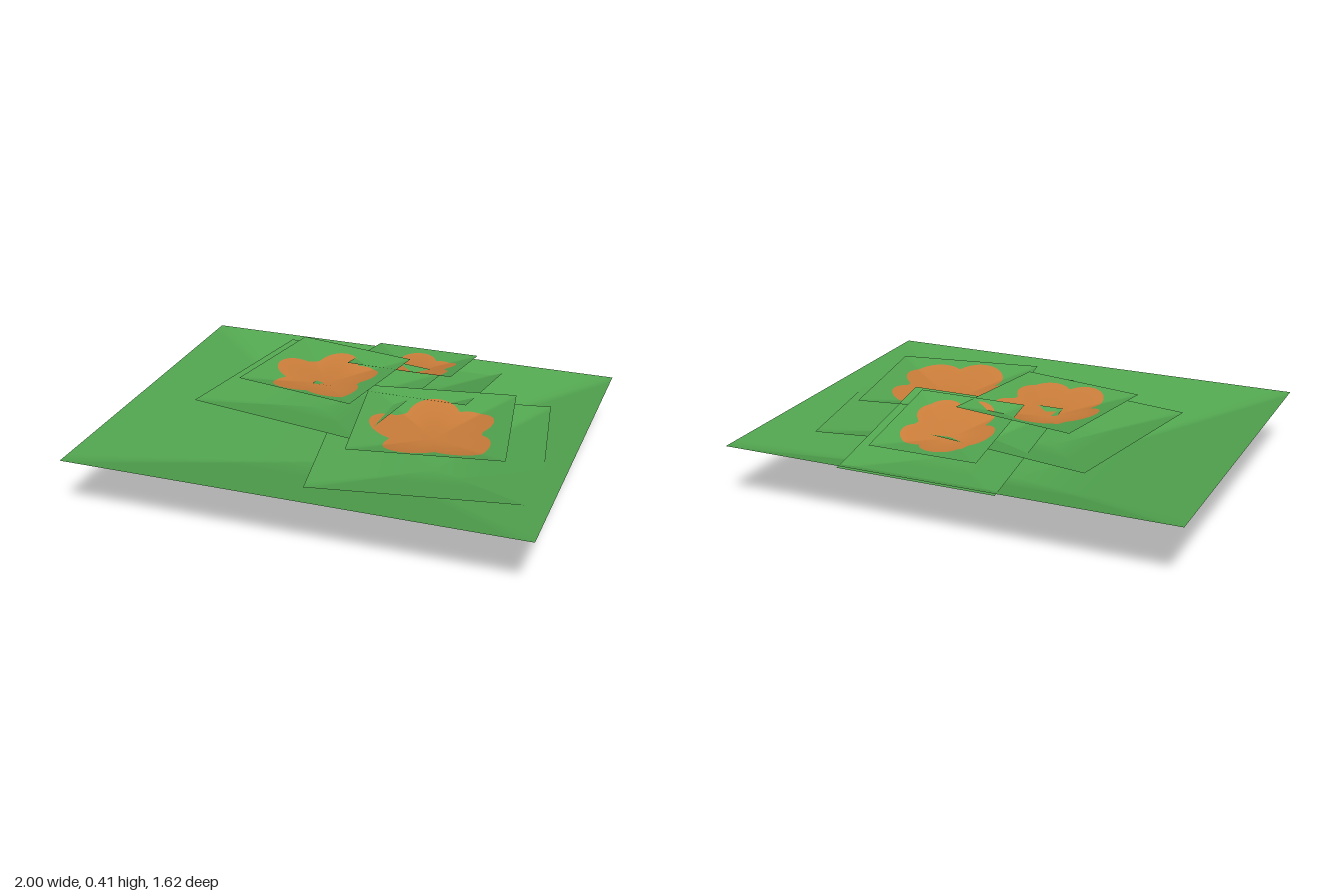
import * as THREE from 'three';

const green = new THREE.MeshStandardMaterial({ color: 0x52a650, side: THREE.DoubleSide });
green.name = 'leafGreen';
const orange = new THREE.MeshStandardMaterial({ color: 0xca7d3a, side: THREE.DoubleSide });
orange.name = 'petalOrange';

const RAYS = 144; // multiple of 8, so rays hit the corners

// Five rounded petals: angle in degrees (from +x towards +z), tip distance, lobe radius
const PETALS = [[-97, 0.81, 0.35], [-31, 0.83, 0.35], [51, 0.98, 0.42], [111, 0.97, 0.37], [180, 0.85, 0.35]];

// Outline of the bloom as a distance along a ray, in half-widths of its sheet
function bloomRadius(angle) {
  let r = 0.64;
  for (const [deg, tip, lobe] of PETALS) {
    const phi = angle - THREE.MathUtils.degToRad(deg);
    const d = tip - lobe;
    const h = lobe * lobe - (d * Math.sin(phi)) ** 2;
    if (h > 0) r = Math.max(r, d * Math.cos(phi) + Math.sqrt(h));
  }
  return r;
}

// Shallow dished sheet: flat rectangular rim at y = 0, straight slopes to a low centre.
// A ring between the centre and the rim separates the bloom from the green.
function dishGeometry(w, d, depth, centreZ, bloom) {
  const pos = [0, -depth, centreZ];
  const inner = [], outer = [];
  for (let i = 0; i < RAYS; i++) {
    const a = (i / RAYS) * Math.PI * 2;
    const c = Math.cos(a), s = Math.sin(a);
    const R = 1 / Math.max(Math.abs(c), Math.abs(s));
    const t = bloom ? Math.min(0.98, bloomRadius(a) / R) : 0.5;
    for (const k of [t, 1]) {
      pos.push(c * R * w * k, -depth * (1 - k), centreZ * (1 - k) + s * R * d * k);
    }
    const p = 1 + 2 * i, n = 1 + 2 * ((i + 1) % RAYS);
    inner.push(0, n, p);
    outer.push(p, n, n + 1, p, n + 1, p + 1);
  }
  const g = new THREE.BufferGeometry();
  g.setAttribute('position', new THREE.Float32BufferAttribute(pos, 3));
  g.setIndex([...inner, ...outer]);
  g.addGroup(0, inner.length, 0);
  g.addGroup(inner.length, outer.length, 1);
  g.computeVertexNormals();
  return g;
}

function sheet(name, { w, d = w, depth = w * 0.26, centreZ = 0, bloom = false, at, turn = 0, tilt = 0 }) {
  const mesh = new THREE.Mesh(dishGeometry(w, d, depth, centreZ, bloom), [bloom ? orange : green, green]);
  mesh.name = name;
  mesh.position.set(...at);
  mesh.rotation.set(tilt, turn, 0);
  return mesh;
}

export function createModel() {
  const model = new THREE.Group();
  model.name = 'flowerPatch';

  // Large ground leaf
  model.add(sheet('groundLeaf', { w: 1, d: 0.81, depth: 0.26, centreZ: -0.07, at: [0, 0.26, 0] }));

  // Three blooms, each a leaf sheet with a smaller flower sheet above it
  const blooms = [
    { side: 'right', turn: -0.176, tilt: 0, leaf: [0.41, [-0.2, 0.32, -0.14]], flower: [0.28, [-0.178, 0.41, -0.135]] },
    { side: 'left', turn: 0.17, tilt: 0, leaf: [0.474, [0.4, 0.232, 0.095]], flower: [0.327, [0.395, 0.34, 0.09]] },
    { side: 'back', turn: 0, tilt: -0.18, leaf: [0.355, [0.135, 0.295, -0.42]], flower: [0.242, [0.133, 0.368, -0.465]] },
  ];
  for (const { side, turn, tilt, leaf, flower } of blooms) {
    const group = new THREE.Group();
    group.name = side + 'Bloom';
    group.add(
      sheet(side + 'Leaf', { w: leaf[0], at: leaf[1], turn, tilt }),
      sheet(side + 'Flower', { w: flower[0], at: flower[1], turn, tilt, bloom: true }),
    );
    model.add(group);
  }
  return model;
}
